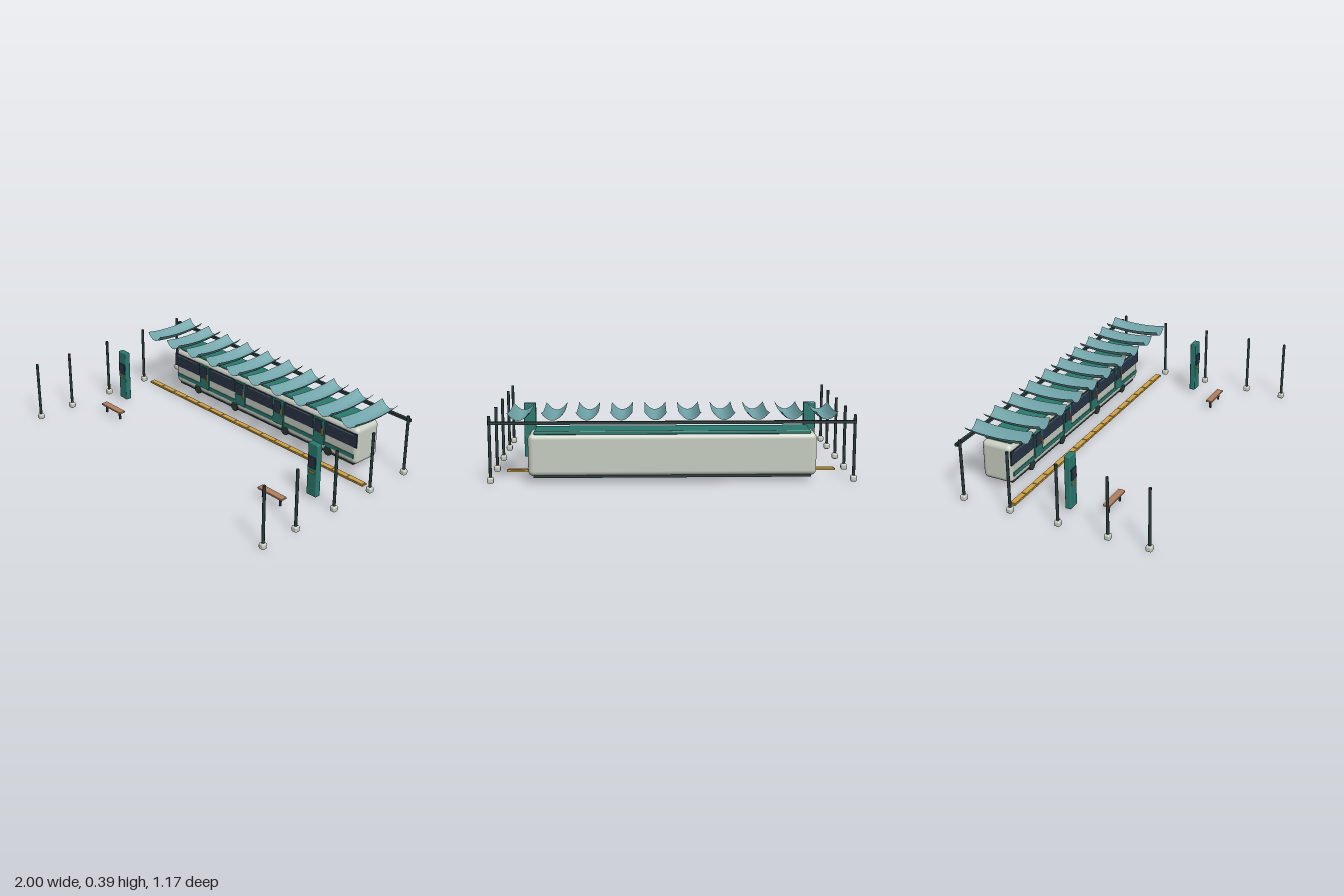
import * as THREE from 'three';
import { RoundedBoxGeometry } from 'three/addons/geometries/RoundedBoxGeometry.js';

const material = (name, color, side = THREE.FrontSide) => {
  const m = new THREE.MeshStandardMaterial({ color, side });
  m.name = name;
  return m;
};

export function createModel() {
  const teal = material('deep teal', 0x2a7a70);
  const awning = material('pale teal', 0x6fa3a8, THREE.DoubleSide);
  const shell = material('warm light grey', 0xc8cec2);
  const dark = material('dark iron', 0x2a3a3a);
  const glass = material('navy glass', 0x2a3548);
  const glint = material('blue grey glint', 0x6c8494);
  const yellow = material('safety yellow', 0xd0a243);
  const wood = material('bench wood', 0xb08060);

  const model = new THREE.Group();
  model.name = 'tramPlatform';

  const group = (name, x = 0, y = 0, z = 0) => {
    const g = new THREE.Group();
    g.name = name;
    g.position.set(x, y, z);
    model.add(g);
    return g;
  };
  const add = (parent, name, geometry, mat, x, y, z) => {
    const mesh = new THREE.Mesh(geometry, mat);
    mesh.name = name;
    mesh.position.set(x, y, z);
    parent.add(mesh);
    return mesh;
  };
  const box = (parent, name, mat, w, h, d, x, y, z) =>
    add(parent, name, new THREE.BoxGeometry(w, h, d), mat, x, y, z);
  const rounded = (parent, name, mat, w, h, d, r, x, y, z) =>
    add(parent, name, new RoundedBoxGeometry(w, h, d, 3, r), mat, x, y, z);

  // Carriage shell, roof deck and underframe
  const tram = group('carriage');
  rounded(tram, 'body', shell, 1.56, 0.234, 0.19, 0.03, 0, 0.151, -0.463);
  rounded(tram, 'roofDeck', teal, 1.49, 0.02, 0.17, 0.006, 0, 0.274, -0.467);
  box(tram, 'underframe', dark, 1.5, 0.02, 0.165, 0, 0.037, -0.465);
  box(tram, 'lowerStripe', teal, 1.52, 0.024, 0.008, 0, 0.09, -0.367);

  // Windows with a thin glint along the top
  for (let i = -2; i <= 2; i++) {
    const x = i * 0.331;
    box(tram, 'window', glass, 0.236, 0.086, 0.008, x, 0.195, -0.367);
    box(tram, 'windowGlint', glint, 0.19, 0.006, 0.003, x, 0.229, -0.362);
  }

  // Doors with pane and handle, and a wheel set near each
  for (const x of [-0.496, -0.165, 0.165, 0.496]) {
    rounded(tram, 'door', teal, 0.088, 0.162, 0.014, 0.004, x, 0.158, -0.367);
    box(tram, 'doorPane', glass, 0.058, 0.08, 0.004, x - 0.004, 0.188, -0.359);
    box(tram, 'doorHandle', yellow, 0.008, 0.046, 0.007, x + 0.032, 0.162, -0.357);
  }
  for (const x of [-0.565, -0.22, 0.22, 0.565]) {
    const wheel = add(tram, 'wheel', new THREE.CylinderGeometry(0.03, 0.03, 0.06, 20), dark, x, 0.05, -0.396);
    wheel.rotation.x = Math.PI / 2;
  }

  // Posts on rounded footings, and the rear beam
  const posts = group('posts');
  const postGeometry = new THREE.CylinderGeometry(0.0085, 0.0085, 0.35, 8);
  const footGeometry = new RoundedBoxGeometry(0.036, 0.034, 0.036, 2, 0.01);
  for (const x of [-0.982, 0.982]) {
    for (const z of [-0.549, -0.256, 0.036, 0.33, 0.567]) {
      add(posts, 'post', postGeometry, dark, x, 0.193, z);
      add(posts, 'footing', footGeometry, shell, x, 0.017, z);
    }
  }
  box(posts, 'rearBeam', dark, 1.97, 0.016, 0.018, 0, 0.333, -0.572);

  // Sagging trough-shaped canopies
  const canopyGeometry = new THREE.PlaneGeometry(0.118, 0.358, 14, 12);
  canopyGeometry.rotateX(-Math.PI / 2);
  const p = canopyGeometry.attributes.position;
  for (let i = 0; i < p.count; i++) {
    const u = p.getX(i) / 0.059;
    const v = p.getZ(i) / 0.179;
    p.setY(i, 0.348 + 0.042 * u * u - 0.016 * (1 - v * v));
  }
  canopyGeometry.computeVertexNormals();
  const canopies = group('canopies');
  for (let i = 0; i < 10; i++) {
    add(canopies, 'canopy', canopyGeometry, awning, (i - 4.5) * 0.1833, 0, -0.405);
  }

  // Platform edge strip topped by separate tiles
  const edge = group('platformEdge');
  box(edge, 'edgeStrip', yellow, 1.85, 0.009, 0.036, 0, 0.01, -0.28);
  for (let i = 0; i < 16; i++) {
    box(edge, 'edgeTile', yellow, 0.108, 0.004, 0.032, (i - 7.5) * 0.1152, 0.016, -0.28);
  }

  // Mirrored information panels and benches
  for (const s of [-1, 1]) {
    const panel = group('infoPanel', s * 0.82, 0, 0.026);
    rounded(panel, 'panelBody', teal, 0.07, 0.318, 0.036, 0.006, 0, 0.186, 0);
    box(panel, 'panelScreen', glass, 0.052, 0.066, 0.008, 0, 0.234, 0.02);
    box(panel, 'panelBar', yellow, 0.04, 0.009, 0.008, 0, 0.175, 0.02);

    const bench = group('bench', s * 0.697, 0, 0.22);
    box(bench, 'benchSeat', wood, 0.182, 0.01, 0.04, 0, 0.061, 0);
    for (const t of [-1, 1]) box(bench, 'benchLeg', dark, 0.011, 0.048, 0.011, t * 0.065, 0.033, 0);
  }
  return model;
}
